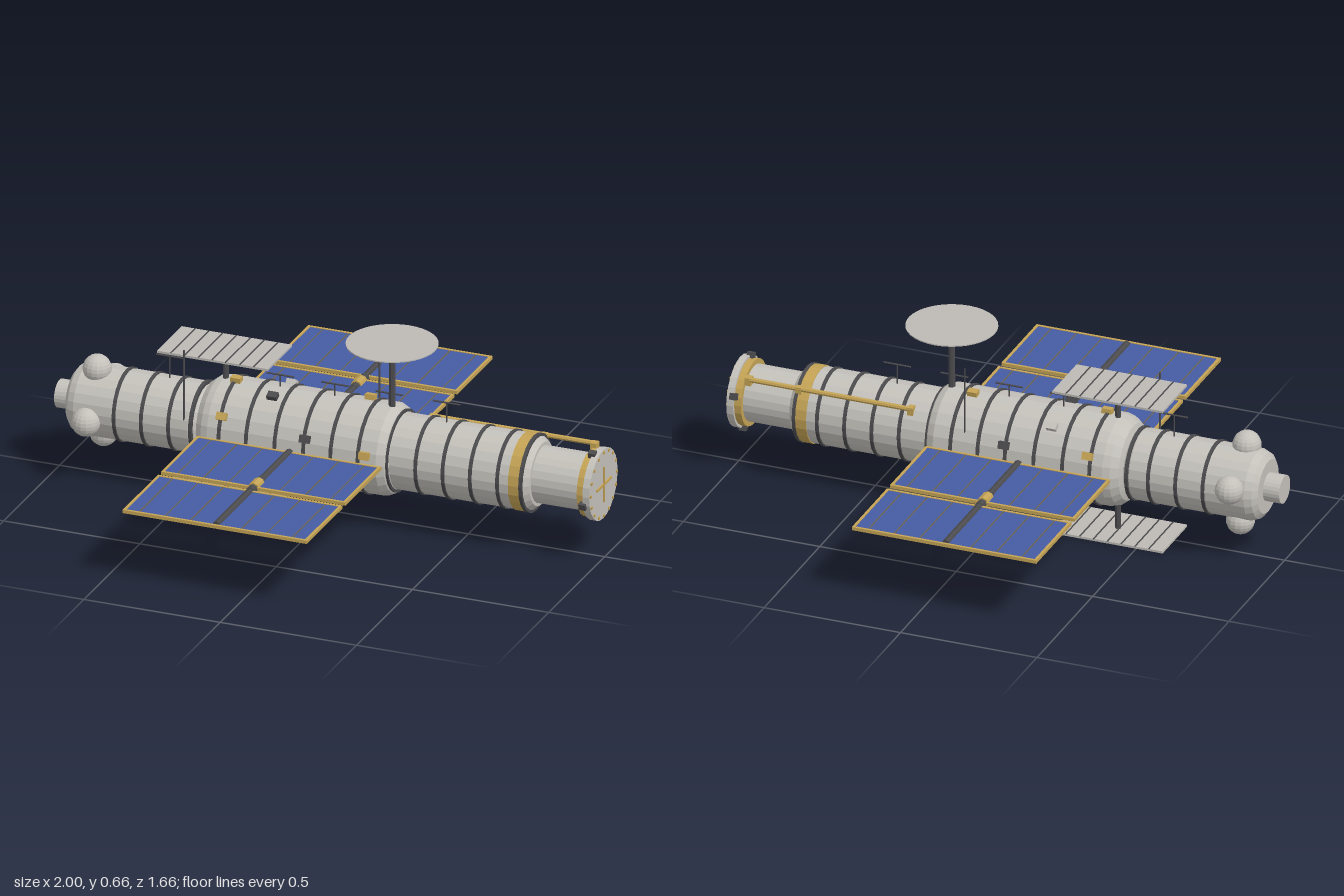
import * as THREE from 'three';

const mat = (name, color, extra = {}) => Object.assign(
  new THREE.MeshStandardMaterial({ color, flatShading: true, ...extra }), { name });

export function createModel() {
  const hull = mat('hull grey', 0xc4c1bb);
  const dark = mat('dark metal', 0x4b4b4e);
  const gold = mat('gold foil', 0xc4a355);
  const blue = mat('solar blue', 0x465ca2);
  const pale = mat('radiator grey', 0xbdbab5);
  const seam = mat('cell seam', 0x6b6250);
  const AXIS = 0.27, SIDES = 24;
  const root = new THREE.Group();

  const add = (name, geo, material, x = 0, y = 0, z = 0, parent = root) => {
    const m = new THREE.Mesh(geo, material);
    m.name = name;
    m.position.set(x, y, z);
    parent.add(m);
    return m;
  };
  const box = (name, material, w, h, d, x, y, z, parent) =>
    add(name, new THREE.BoxGeometry(w, h, d), material, x, y, z, parent);
  // Solid of revolution about the station axis, from [x, radius] pairs
  const turned = (name, material, profile) => {
    const pts = profile.map(([x, r]) => new THREE.Vector2(r, x));
    const geo = new THREE.LatheGeometry(pts, SIDES).rotateZ(-Math.PI / 2);
    return add(name, geo, material, 0, AXIS, 0);
  };
  const drum = (name, material, x0, x1, r) =>
    turned(name, material, [[x0, 0], [x0, r], [x1, r], [x1, 0]]);
  // Round bar between two points
  const bar = (name, material, a, b, r, sides = 8) => {
    const p = new THREE.Vector3(...a), q = new THREE.Vector3(...b);
    const m = add(name, new THREE.CylinderGeometry(r, r, p.distanceTo(q), sides), material);
    m.position.copy(p).lerp(q, 0.5);
    m.quaternion.setFromUnitVectors(new THREE.Vector3(0, 1, 0), q.sub(p).normalize());
    return m;
  };

  // Pressure modules
  drum('aftPort', hull, -1, -0.93, 0.05);
  turned('aftModule', hull, [[-0.94, 0], [-0.94, 0.095], [-0.925, 0.115], [-0.9, 0.125],
    [-0.48, 0.125], [-0.46, 0.115], [-0.44, 0.1]]);
  turned('mainModule', hull, [[-0.455, 0], [-0.455, 0.105], [-0.445, 0.135], [-0.42, 0.155], [-0.395, 0.162],
    [0.225, 0.162], [0.25, 0.15], [0.265, 0.13], [0.265, 0]]);
  turned('foreModule', hull, [[0.25, 0], [0.25, 0.133], [0.745, 0.133], [0.77, 0.112], [0.775, 0]]);
  drum('foreBand', gold, 0.7, 0.745, 0.136);
  drum('dockingNeck', hull, 0.76, 0.96, 0.1);

  // Hoops around the modules
  const hoops = [[0.125, [-0.75, -0.65, -0.55, -0.47]],
    [0.162, [-0.35, -0.25, -0.145, -0.04, 0.06, 0.16]],
    [0.14, [0.255]], [0.133, [0.36, 0.46, 0.56, 0.66, 0.745]]];
  for (const [r, xs] of hoops)
    for (const x of xs) drum('hoop', dark, x - 0.006, x + 0.006, r + 0.005);

  // Docking flange with bolts, clamps and cross
  drum('flangeRing', gold, 0.945, 0.972, 0.118);
  drum('dockingPlate', hull, 0.97, 0.995, 0.127);
  for (let i = 0; i < 16; i++) {
    const a = i / 16 * Math.PI * 2;
    box('bolt', gold, 0.006, 0.009, 0.009, 0.996, AXIS + 0.117 * Math.sin(a), 0.117 * Math.cos(a));
  }
  for (let i = 0; i < 4; i++) {
    const a = Math.PI / 4 + i * Math.PI / 2 + 0.5;
    const m = box('clamp', dark, 0.025, 0.022, 0.025, 0.97,
      AXIS + 0.124 * Math.sin(a), 0.124 * Math.cos(a));
    m.rotation.x = -a;
  }
  box('crossBar', gold, 0.006, 0.008, 0.13, 0.997, AXIS, 0);
  box('crossBar', gold, 0.006, 0.13, 0.008, 0.997, AXIS, 0);

  // Spherical tanks around the aft module
  for (let i = 0; i < 4; i++) {
    const a = -0.22 + i * Math.PI / 2;
    add('tank', new THREE.SphereGeometry(0.05, 16, 12), hull, -0.85,
      AXIS + 0.133 * Math.sin(a), 0.133 * Math.cos(a));
  }

  // Solar wings, two panels on each side
  const PX = -0.09, PW = 0.676;
  for (const s of [1, -1]) {
    for (const [z0, z1] of [[0.165, 0.487], [0.513, 0.83]]) {
      const panel = new THREE.Group();
      panel.name = 'solarPanel';
      panel.position.set(PX, AXIS, s * (z0 + z1) / 2);
      root.add(panel);
      const d = z1 - z0;
      box('cells', blue, PW - 0.01, 0.008, d - 0.01, 0, 0, 0, panel);
      for (const e of [-1, 1]) {
        box('frameSide', gold, 0.01, 0.012, d, e * (PW / 2 - 0.005), 0, 0, panel);
        box('frameEnd', gold, PW, 0.012, 0.01, 0, 0, e * (d / 2 - 0.005), panel);
      }
      for (let i = -3; i <= 3; i++)
        box('cellSeam', seam, 0.005, 0.0095, d - 0.02, i * 0.0935, 0, 0, panel);
    }
    bar('wingBoom', dark, [PX, AXIS, s * 0.14], [PX, AXIS, s * 0.815], 0.014);
    bar('boomSleeve', dark, [PX, AXIS, s * 0.405], [PX, AXIS, s * 0.515], 0.016);
    bar('boomJoint', gold, [PX, AXIS, s * 0.433], [PX, AXIS, s * 0.485], 0.021);
  }

  // Radiators above and below
  for (const [y, yBase] of [[0.537, 0.42], [0.005, 0.12]]) {
    box('radiator', pale, 0.405, 0.008, 0.22, -0.395, y, 0);
    for (let i = 1; i < 8; i++)
      box('radiatorSeam', dark, 0.005, 0.004, 0.22, -0.5975 + i * 0.0506, y + 0.0035, 0);
    bar('radiatorPost', dark, [-0.39, y, 0], [-0.39, yBase, 0], 0.011);
  }

  // Dish antenna
  add('dishBack', new THREE.CylinderGeometry(0.157, 0.015, 0.05, 36, 1, true), dark, 0.22, 0.637, 0);
  add('dishFace', new THREE.CylinderGeometry(0.158, 0.158, 0.004, 36), pale, 0.22, 0.661, 0);
  bar('dishPost', dark, [0.22, 0.41, 0], [0.22, 0.62, 0], 0.012);

  // Whip antennas and T-shaped rails
  bar('whip', dark, [-0.495, 0.3, 0.118], [-0.495, 0.563, 0.118], 0.003, 6);
  bar('whip', dark, [0.115, 0.31, -0.142], [0.115, 0.583, -0.142], 0.003, 6);
  for (const [x, y] of [[-0.595, 0.39], [-0.19, 0.425], [0.01, 0.425], [0.21, 0.425], [0.42, 0.4]]) {
    bar('railPost', dark, [x, y, 0], [x, 0.475, 0], 0.0025, 6);
    bar('railTop', dark, [x - 0.05, 0.475, 0], [x + 0.05, 0.475, 0], 0.003, 6);
  }

  // Boom lying along the fore module
  bar('craneBoom', gold, [0.32, 0.369, -0.1], [0.93, 0.369, -0.1], 0.009);
  for (const x of [0.33, 0.74, 0.925])
    box('craneBracket', gold, 0.022, 0.028, 0.028, x, 0.362, -0.094);

  // Equipment boxes on the main module: x, angle up from the front, material
  const gear = [[-0.345, 85, gold], [-0.345, 30, gold], [0.185, 12, gold], [0.13, 100, gold],
    [-0.19, 66, dark], [-0.035, 20, dark], [-0.28, -30, dark], [-0.045, -45, hull],
    [-0.04, -68, hull], [-0.19, 128, hull], [-0.34, 155, gold], [-0.035, 160, dark],
    [0.1, 205, hull], [-0.28, 230, dark], [0.17, -20, dark]];
  for (const [x, deg, m] of gear) {
    const a = deg * Math.PI / 180;
    const g = box('equipmentBox', m, 0.036, 0.022, 0.026, x,
      AXIS + 0.168 * Math.sin(a), 0.168 * Math.cos(a));
    g.rotation.x = Math.PI / 2 - a;
  }
  return root;
}
